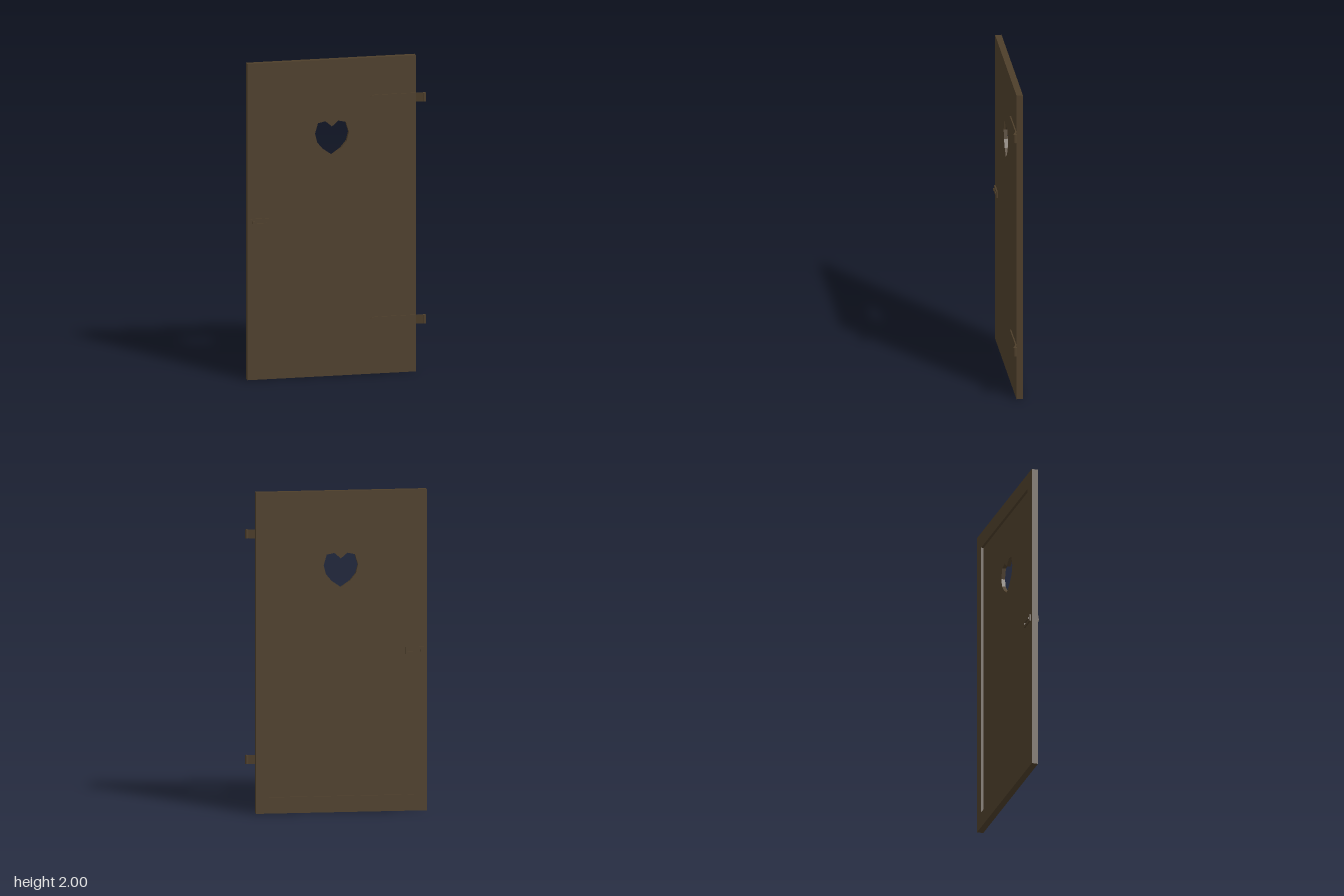
import * as THREE from 'three';

const FRONT = 0.014, RECESS = -0.01, BACK = -0.026;
const LEFT = -0.565, RIGHT = 0.5, HEIGHT = 2;

export function createModel() {
  const door = new THREE.Group();
  door.name = 'door';
  const wood = new THREE.MeshStandardMaterial({ color: 0x4d3e2a });
  wood.name = 'darkBrown';

  const add = (parent, name, geometry, x = 0, y = 0, z = 0) => {
    const mesh = new THREE.Mesh(geometry, wood);
    mesh.name = name;
    mesh.position.set(x, y, z);
    parent.add(mesh);
    return mesh;
  };
  const toShape = (points) => new THREE.Shape(points.map(([x, y]) => new THREE.Vector2(x, y)));
  const rect = (x0, y0, x1, y1) => toShape([[x0, y0], [x1, y0], [x1, y1], [x0, y1]]);
  const extrude = (shape, depth) => new THREE.ExtrudeGeometry(shape, { depth, bevelEnabled: false });

  // Door panel with a faceted heart cut through it
  const half = [[0.041, 1.612], [0.088, 1.602], [0.107, 1.537], [0.093, 1.481], [0.056, 1.436]];
  const heartX = -0.031;
  const heart = [
    [heartX, 1.577],
    ...half.map(([x, y]) => [heartX + x, y]),
    [heartX, 1.397],
    ...half.map(([x, y]) => [heartX - x, y]).reverse(),
  ];
  const panel = rect(LEFT, 0, RIGHT, HEIGHT);
  panel.holes.push(toShape(heart));
  add(door, 'panel', extrude(panel, FRONT - RECESS), 0, 0, RECESS);

  // Raised border around the back
  const border = rect(LEFT, 0, RIGHT, HEIGHT);
  border.holes.push(rect(LEFT + 0.08, 0.1, RIGHT - 0.08, HEIGHT - 0.1));
  add(door, 'backFrame', extrude(border, RECESS - BACK), 0, 0, BACK);

  // Hinges: tapered strap, angled arm and knuckle
  const strap = toShape([
    [0.212, -0.016], [0.222, -0.024], [0.245, -0.027], [RIGHT, -0.027],
    [RIGHT, 0.027], [0.245, 0.027], [0.222, 0.024], [0.212, 0.016],
  ]);
  // Arm outline is drawn in x and -z, then stood upright
  const arm = toShape([[RIGHT, -0.022], [0.545, -0.038], [0.552, -0.026], [RIGHT, -0.014]]);
  for (const [name, y] of [['upperHinge', 1.737], ['lowerHinge', 0.333]]) {
    const hinge = new THREE.Group();
    hinge.name = name;
    hinge.position.y = y;
    add(hinge, 'strap', extrude(strap, 0.008), 0, 0, FRONT);
    add(hinge, 'arm', extrude(arm, 0.054).rotateX(-Math.PI / 2), 0, -0.027, 0);
    add(hinge, 'knuckle', new THREE.CylinderGeometry(0.0115, 0.0115, 0.054, 12), 0.549, 0, 0.0285);
    door.add(hinge);
  }

  // Latch: slotted plate and sliding knob on both faces
  const plate = rect(-0.547, 0.975, -0.432, 1.019);
  plate.holes.push(rect(-0.535, 0.99, -0.443, 1.004));
  for (const [name, z] of [['frontLatch', FRONT], ['backLatch', BACK - 0.009]]) {
    const latch = new THREE.Group();
    latch.name = name;
    add(latch, 'slottedPlate', extrude(plate, 0.009), 0, 0, z);
    door.add(latch);
  }
  add(door, 'latchKnob', new THREE.BoxGeometry(0.014, 0.014, 0.073), -0.528, 0.997, -0.006);

  return door;
}
